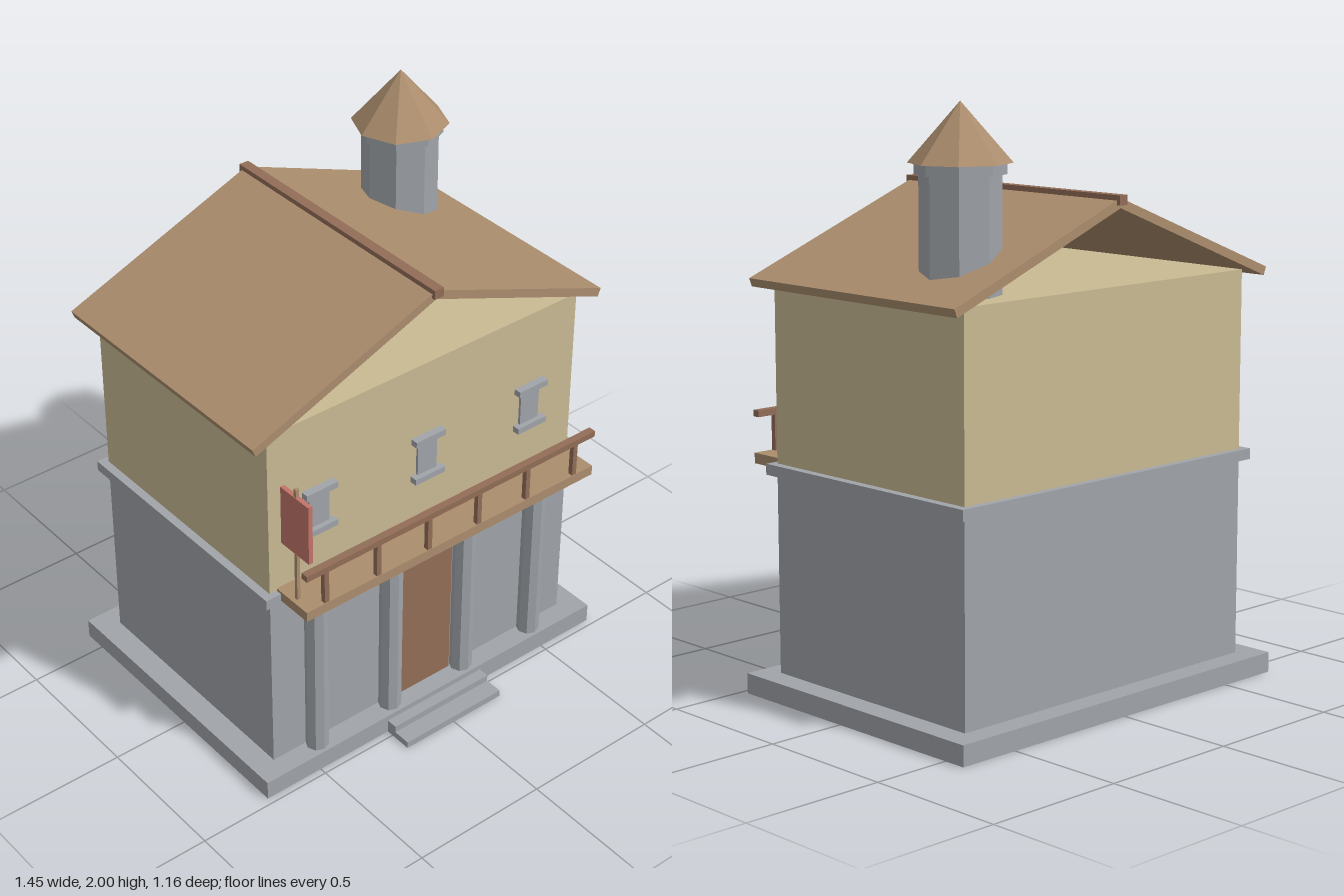
import * as THREE from 'three';

const mat = (name, color) => {
  const m = new THREE.MeshStandardMaterial({ color });
  m.name = name;
  return m;
};

export function createModel() {
  const model = new THREE.Group();
  model.name = 'house';
  const stone = mat('grey stone', 0xa0a4a9);
  const plaster = mat('yellow plaster', 0xc9ba93);
  const wood = mat('light wood', 0xab8d6d);
  const darkWood = mat('dark wood', 0x916d57);
  const red = mat('red sign', 0xc2746a);

  const add = (name, geometry, material) => {
    const mesh = new THREE.Mesh(geometry, material);
    mesh.name = name;
    model.add(mesh);
    return mesh;
  };
  // Box given by its limits on each axis
  const box = (name, material, x0, x1, y0, y1, z0, z1) => {
    const mesh = add(name, new THREE.BoxGeometry(x1 - x0, y1 - y0, z1 - z0), material);
    mesh.position.set((x0 + x1) / 2, (y0 + y1) / 2, (z0 + z1) / 2);
    return mesh;
  };
  // Octagonal prism with corners on the x and z axes
  const prism = (name, material, rTop, rBottom, x, y0, y1, z) => {
    const geometry = new THREE.CylinderGeometry(rTop, rBottom, y1 - y0, 8).toNonIndexed();
    geometry.computeVertexNormals();
    add(name, geometry, material).position.set(x, (y0 + y1) / 2, z);
  };

  // Plinth, steps and storeys
  box('plinth', stone, -0.723, 0.723, 0, 0.07, -0.58, 0.475);
  box('lowerStep', stone, -0.208, 0.208, 0, 0.025, 0.46, 0.58);
  box('upperStep', stone, -0.208, 0.208, 0.025, 0.05, 0.46, 0.515);
  box('lowerWalls', stone, -0.64, 0.64, 0.07, 0.75, -0.5, 0.4);
  box('stringCourse', stone, -0.67, 0.67, 0.75, 0.787, -0.525, 0.422);
  box('upperWalls', plaster, -0.64, 0.64, 0.787, 1.4, -0.5, 0.4);

  // Door
  box('door', darkWood, -0.12, 0.12, 0.07, 0.63, 0.4, 0.409);
  box('doorLintel', stone, -0.12, 0.12, 0.63, 0.652, 0.4, 0.415);

  // Portico
  for (const x of [-0.475, -0.16, 0.16, 0.475]) {
    prism('column', stone, 0.04, 0.04, x, 0.07, 0.745, 0.425);
    box('capital', stone, x - 0.052, x + 0.052, 0.743, 0.76, 0.4, 0.478);
  }
  box('architrave', stone, -0.475, 0.475, 0.678, 0.727, 0.44, 0.475);

  // Balcony
  box('balconyFloor', wood, -0.612, 0.612, 0.76, 0.796, 0.4, 0.555);
  box('balconyRail', darkWood, -0.612, 0.612, 0.92, 0.942, 0.53, 0.557);
  for (let i = 0; i < 6; i++) {
    const x = -0.53 + i * 0.212;
    box('railPost', darkWood, x - 0.009, x + 0.009, 0.796, 0.92, 0.535, 0.553);
  }

  // Windows
  for (const x of [-0.445, 0, 0.445]) {
    box('window', stone, x - 0.04, x + 0.04, 0.979, 1.106, 0.4, 0.409);
    box('windowLintel', stone, x - 0.062, x + 0.062, 1.106, 1.128, 0.4, 0.427);
    box('windowSill', stone, x - 0.062, x + 0.062, 0.957, 0.979, 0.4, 0.427);
  }

  // Hanging sign on its pole
  box('signPole', wood, -0.596, -0.584, 0.796, 1.23, 0.474, 0.486);
  box('signBoard', red, -0.598, -0.582, 0.98, 1.2, 0.41, 0.55);

  // Roof slabs, open at the gables
  const pitch = Math.atan2(0.28, 0.715);
  const length = 0.765, thickness = 0.03;
  for (const side of [-1, 1]) {
    const slab = add('roofSlab', new THREE.BoxGeometry(length, thickness, 0.975), wood);
    slab.rotation.z = -side * pitch;
    slab.position.set(side * 0.355, 1.532, -0.053);
  }
  box('roofRidge', darkWood, -0.018, 0.018, 1.665, 1.697, -0.553, 0.447);

  // Octagonal turret
  prism('turret', stone, 0.13, 0.13, 0.456, 1.4, 1.78, -0.29);
  prism('turretCollar', stone, 0.145, 0.145, 0.456, 1.775, 1.81, -0.29);
  prism('turretRoof', wood, 0, 0.165, 0.456, 1.81, 2, -0.29);

  return model;
}
